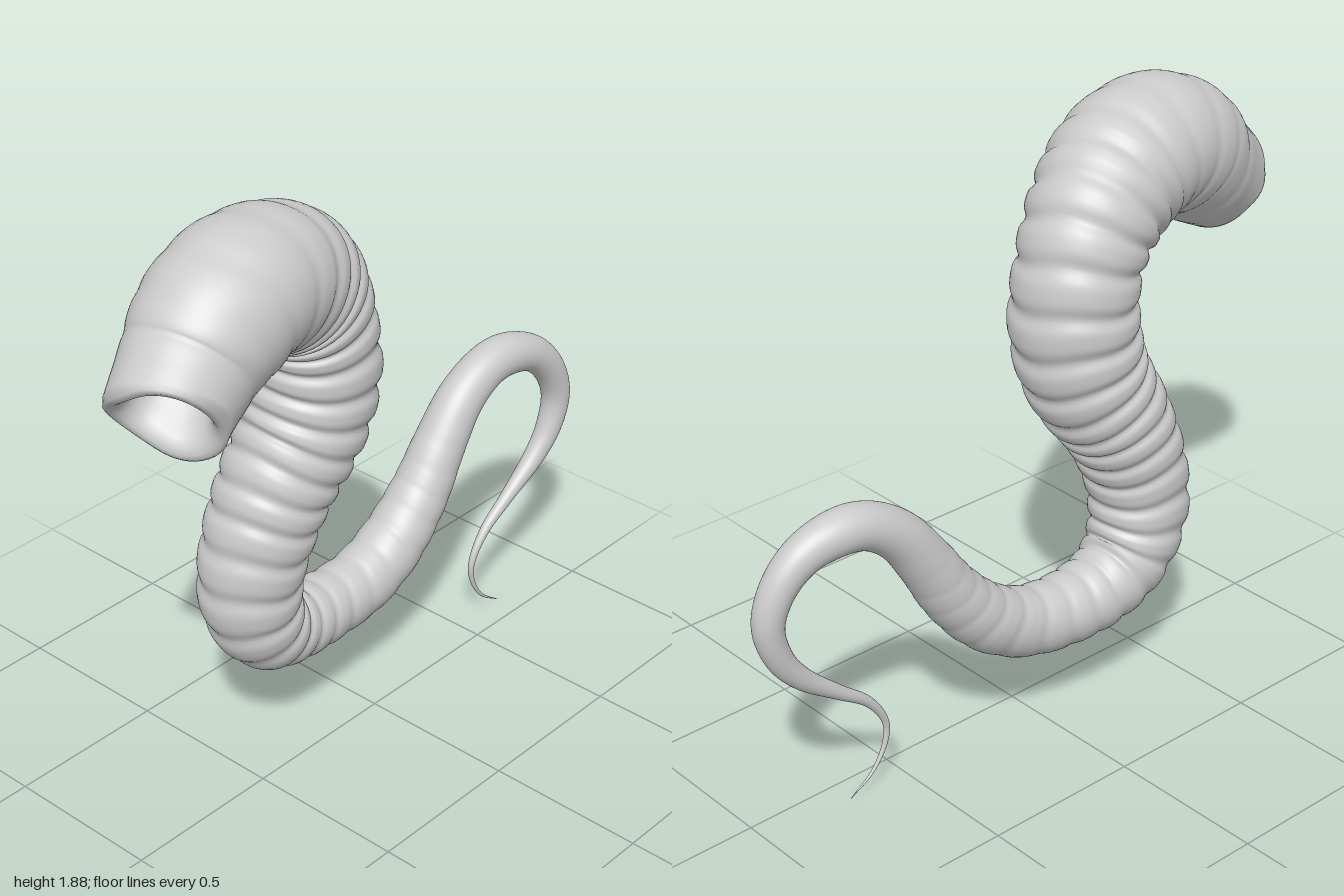
import * as THREE from 'three';

// Body stations from mouth to tail tip: x, y, z, radius
const STATIONS = [
  [-0.92, 1.465, 0.105, 0.172], [-0.79, 1.55, 0.06, 0.188],
  [-0.70, 1.62, 0.045, 0.208], [-0.57, 1.67, 0.025, 0.212],
  [-0.42, 1.645, -0.005, 0.21], [-0.28, 1.555, -0.045, 0.198],
  [-0.20, 1.42, -0.065, 0.186], [-0.18, 1.25, -0.07, 0.188],
  [-0.22, 1.08, -0.08, 0.184], [-0.325, 0.90, -0.1, 0.17],
  [-0.395, 0.72, -0.115, 0.157], [-0.405, 0.56, -0.125, 0.15],
  [-0.35, 0.435, -0.13, 0.138], [-0.24, 0.37, -0.138, 0.122],
  [-0.08, 0.35, -0.138, 0.111], [0.08, 0.37, -0.13, 0.106],
  [0.22, 0.445, -0.125, 0.102], [0.34, 0.57, -0.12, 0.093],
  [0.43, 0.705, -0.118, 0.083], [0.52, 0.825, -0.115, 0.075],
  [0.62, 0.895, -0.108, 0.07], [0.72, 0.912, -0.1, 0.068],
  [0.83, 0.88, -0.085, 0.06], [0.91, 0.80, -0.072, 0.053],
  [0.948, 0.69, -0.066, 0.047], [0.92, 0.575, -0.068, 0.041],
  [0.85, 0.48, -0.075, 0.033], [0.73, 0.385, -0.082, 0.022],
  [0.63, 0.31, -0.085, 0.016], [0.57, 0.22, -0.086, 0.011],
  [0.572, 0.14, -0.086, 0.008], [0.62, 0.06, -0.085, 0.005],
  [0.70, 0.002, -0.083, 0.001],
];
// Mouth profile from the throat out to the lip: depth inside, radius
const MOUTH = [
  [0.2, 0.001], [0.195, 0.04], [0.17, 0.075], [0.12, 0.095], [0.07, 0.102],
  [0.03, 0.111], [0.008, 0.123], [-0.006, 0.138], [-0.01, 0.152], [-0.006, 0.164],
];
const SIDES = 56, RINGS = 480;
const { smoothstep } = THREE.MathUtils;

// Ring folds: rounded bulges parted by narrow grooves, strongest on the bends
function fold(s, a) {
  const phase = s / 0.092 + 0.22 * Math.sin(s * 9) + 0.1 * Math.sin(a + s * 5) + 0.07 * Math.sin(3 * a + s * 4);
  const groove = Math.pow(Math.abs(Math.cos(Math.PI * phase)), 5);
  const strength = (0.25 + 0.75 * smoothstep(s, 0.45, 0.75))
    * smoothstep(s, 0.05, 0.2) * (1 - 0.55 * smoothstep(s, 1.9, 2.4)) * (1 - smoothstep(s, 2.5, 3.1));
  const lumps = 0.012 * Math.sin(2 * a + s * 11) * (1 - smoothstep(s, 2, 3));
  return 1 + strength * (0.025 - 0.075 * groove) + lumps;
}

function wormGeometry() {
  const spine = new THREE.CatmullRomCurve3(
    STATIONS.map(([x, y, z]) => new THREE.Vector3(x, y, z)), false, 'catmullrom');
  const radii = new THREE.CatmullRomCurve3(
    STATIONS.map((p) => new THREE.Vector3(p[3], 0, 0)), false, 'catmullrom');
  spine.arcLengthDivisions = 800;
  const length = spine.getLength();
  const positions = [], index = [];

  // One cross-section square to the spine; radiusAt and pushAt depend on the angle
  function addRing(centre, tangent, radiusAt, pushAt) {
    const side = new THREE.Vector3(0, 0, 1).addScaledVector(tangent, -tangent.z).normalize();
    const up = new THREE.Vector3().crossVectors(side, tangent);
    for (let j = 0; j < SIDES; j++) {
      const a = (j / SIDES) * Math.PI * 2;
      const r = radiusAt(a);
      const p = centre.clone().addScaledVector(up, Math.cos(a) * r)
        .addScaledVector(side, Math.sin(a) * r).addScaledVector(tangent, pushAt(a));
      positions.push(p.x, p.y, p.z);
    }
  }

  // The lip dips at the sides and juts at top and bottom
  const lipWave = (a) => -0.016 * Math.cos(2 * a) + 0.006 * Math.sin(3 * a + 1);
  const start = spine.getPoint(0);
  const axis = spine.getTangent(0).add(new THREE.Vector3(0, 0, -0.12)).normalize();
  for (const [depth, r] of MOUTH) {
    addRing(start.clone().addScaledVector(axis, depth), axis,
      (a) => r * (1 + 0.07 * Math.sin(3 * a) * smoothstep(r, 0.05, 0.11)), lipWave);
  }

  // Body from lip to tail tip
  for (let i = 0; i <= RINGS; i++) {
    const u = 0.002 + 0.998 * i / RINGS, s = u * length;
    const t = spine.getUtoTmapping(u);
    const r = Math.max(radii.getPoint(t).x, 0.001);
    const tangent = spine.getTangent(t).lerp(axis, 1 - smoothstep(s, 0, 0.12)).normalize();
    addRing(spine.getPoint(t), tangent, (a) => r * fold(s, a),
      (a) => lipWave(a) * (1 - smoothstep(s, 0, 0.16)));
  }

  const rows = positions.length / 3 / SIDES;
  for (let i = 0; i < rows - 1; i++) {
    for (let j = 0; j < SIDES; j++) {
      const k = (j + 1) % SIDES;
      const a = i * SIDES + j, b = i * SIDES + k;
      index.push(a, b, a + SIDES, b, b + SIDES, a + SIDES);
    }
  }
  const geometry = new THREE.BufferGeometry();
  geometry.setAttribute('position', new THREE.Float32BufferAttribute(positions, 3));
  geometry.setIndex(index);
  geometry.computeVertexNormals();
  return geometry;
}

export function createModel() {
  const group = new THREE.Group();
  group.name = 'worm';
  const body = new THREE.Mesh(wormGeometry(), new THREE.MeshStandardMaterial({ color: 0xcccccc }));
  body.name = 'body';
  group.add(body);
  return group;
}
